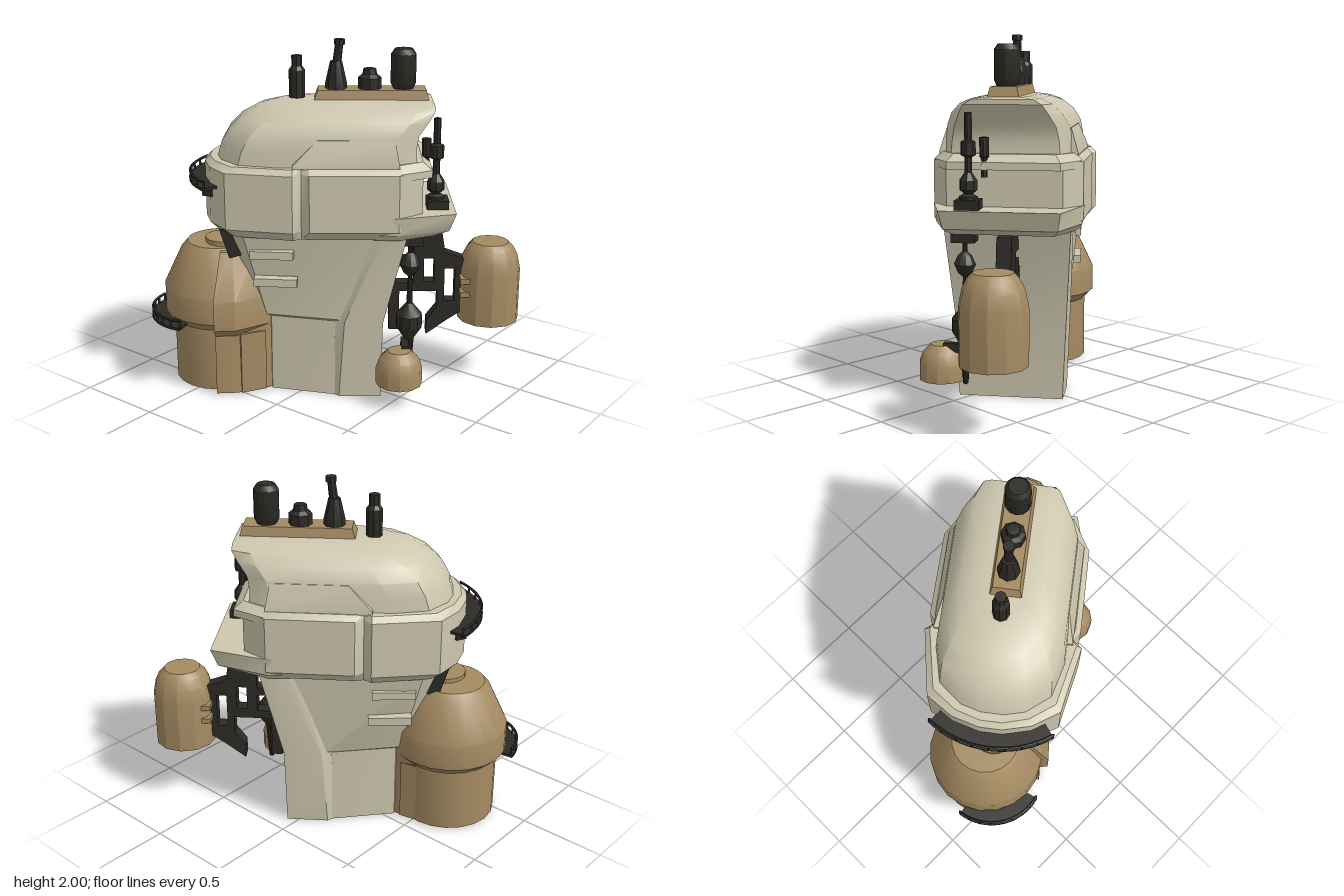
import * as THREE from 'three';
import { toCreasedNormals } from 'three/addons/utils/BufferGeometryUtils.js';

const mat = (color) => new THREE.MeshStandardMaterial({ color, side: THREE.DoubleSide });
const hull = mat(0xcdc7ae), tan = mat(0xa48a62), dark = mat(0x2c2a25);

// Local frame: -x is the nose of the building, +x its back, z is sideways.
export function createModel() {
  const model = new THREE.Group();
  const body = new THREE.Group();
  body.name = 'building';
  body.rotation.y = THREE.MathUtils.degToRad(37);
  model.add(body);

  const add = (name, geo, material, x = 0, y = 0, z = 0) => {
    const m = new THREE.Mesh(toCreasedNormals(geo, 0.5), material);
    m.name = name;
    m.position.set(x, y, z);
    body.add(m);
    return m;
  };
  const box = (name, material, sx, sy, sz, x, y, z) =>
    add(name, new THREE.BoxGeometry(sx, sy, sz), material, x, y, z);
  const lathe = (name, material, pts, x, z, sides = 12) =>
    add(name, new THREE.LatheGeometry(pts.map(p => new THREE.Vector2(p[0], p[1])), sides), material, x, 0, z);

  // Skin stacked rings; each ring is [y, half outline from nose to back].
  const loft = (name, material, rings, openBottom = false) => {
    const full = rings.map(([y, half]) => [
      ...half.map(([x, z]) => [x, y, z]),
      ...[...half].reverse().map(([x, z]) => [x, y, -z])]);
    const pos = [], n = full[0].length;
    const tri = (...c) => c.forEach(p => pos.push(...p));
    for (let r = 0; r + 1 < full.length; r++)
      for (let i = 0; i < n; i++) {
        const j = (i + 1) % n, lo = full[r], hi = full[r + 1];
        tri(lo[i], lo[j], hi[j]);
        tri(lo[i], hi[j], hi[i]);
      }
    const cap = (ring, up) => {
      const c = [0, 1, 2].map(k => ring.reduce((s, p) => s + p[k], 0) / n);
      for (let i = 0; i < n; i++) {
        const j = (i + 1) % n;
        up ? tri(c, ring[i], ring[j]) : tri(c, ring[j], ring[i]);
      }
    };
    if (!openBottom) cap(full[0], false);
    cap(full[full.length - 1], true);
    const g = new THREE.BufferGeometry();
    g.setAttribute('position', new THREE.Float32BufferAttribute(pos, 3));
    g.computeVertexNormals();
    return add(name, g, material);
  };

  // Hollow tower, narrowing to the nose and flaring upwards, with a sloping pillar on its back edge
  loft('tower', hull, [
    [0, [[-0.35, 0.15], [-0.335, 0.185], [0.03, 0.27], [0.27, 0.27]]],
    [0.455, [[-0.36, 0.15], [-0.335, 0.19], [0.05, 0.275], [0.28, 0.28]]],
    [0.47, [[-0.39, 0.15], [-0.36, 0.205], [0.05, 0.29], [0.28, 0.29]]],
    [0.98, [[-0.57, 0.2], [-0.48, 0.31], [0.25, 0.325], [0.38, 0.31]]]], true);
  const rib = (f, bevel, k, w) => [[f, w - 0.035], [f + bevel, w], [k, w]];
  loft('towerPillar', hull, [[0, rib(0.01, 0.04, 0.287, 0.29)], [0.46, rib(0.03, 0.05, 0.295, 0.31)],
    [0.98, rib(0.21, 0.08, 0.42, 0.345)]], true);
  for (const s of [-1, 1])
    for (const [y, x] of [[0.862, -0.32], [0.703, -0.3]]) {
      const slat = box('wallSlat', hull, 0.24, 0.045, 0.06, x, y, s * 0.3);
      slat.rotation.y = -s * 0.08;
    }

  // Broad collar with a groove on each side
  const collar = (d) => [[-0.7 + d, 0.06], [-0.66 + d, 0.21 - d / 2], [-0.565 + d, 0.355 - d], [-0.2, 0.425 - d],
    [-0.155, 0.37 - d / 2], [-0.11, 0.41 - d], [0.37, 0.405 - d], [0.5 - d, 0.31 - d]];
  loft('collar', hull, [[0.965, collar(0.05)], [1.02, collar(0)], [1.335, collar(0)], [1.365, collar(0.03)]]);
  const ledge = [[0.3, 0.4], [0.37, 0.4], [0.55, 0.3]];
  loft('backLedge', hull, [[1.3, ledge], [1.34, ledge], [1.38, [[0.3, 0.36], [0.36, 0.36], [0.5, 0.27]]]]);
  loft('backPlatform', hull, [[0.96, [[0.2, 0.34], [0.36, 0.36], [0.56, 0.27]]],
    [1.0, [[0.2, 0.38], [0.36, 0.4], [0.65, 0.3]]], [1.1, [[0.2, 0.39], [0.36, 0.41], [0.685, 0.318]]]]);

  // Rounded roof with an overhanging back
  const roof = (f, w, k, wb) => [[f, w * 0.18], [f + 0.03, w * 0.5], [f + 0.13, w * 0.86], [f + 0.32, w],
    [0.2, w], [k - 0.11, w], [k, wb]];
  loft('roof', hull, [
    [1.35, roof(-0.63, 0.345, 0.47, 0.29)], [1.44, roof(-0.605, 0.34, 0.46, 0.285)],
    [1.52, roof(-0.56, 0.33, 0.475, 0.27)], [1.59, roof(-0.49, 0.295, 0.53, 0.235)],
    [1.64, roof(-0.4, 0.245, 0.565, 0.205)], [1.667, roof(-0.3, 0.185, 0.565, 0.16)],
    [1.678, roof(-0.22, 0.12, 0.54, 0.1)]]);
  const sill = [[-0.2, 0.375], [0.37, 0.375]];
  loft('roofSidePanels', hull, [[1.36, sill], [1.38, sill], [1.51, [[-0.07, 0.335], [0.345, 0.335]]]]);

  // Vent box and chimneys
  loft('ventBox', tan, [[1.65, [[-0.1, 0.09], [0.545, 0.09]]], [1.73, [[-0.07, 0.07], [0.525, 0.07]]]]);
  lathe('noseChimney', dark, [[0, 1.6], [0.045, 1.6], [0.045, 1.83], [0.03, 1.85], [0.03, 1.91], [0, 1.91]], -0.186, -0.01, 8);
  lathe('tallChimney', dark, [[0.06, 1.72], [0.06, 1.76], [0.033, 1.88], [0, 1.88]], 0.03, 0, 8);
  const neck = add('chimneyNeck', new THREE.CylinderGeometry(0.022, 0.025, 0.12, 8), dark, 0.04, 1.92, 0);
  neck.rotation.z = -0.12;
  add('chimneyTip', new THREE.CylinderGeometry(0.03, 0.03, 0.03, 8), dark, 0.048, 1.985, 0);
  lathe('lowChimney', dark, [[0.065, 1.72], [0.065, 1.79], [0.04, 1.81], [0.035, 1.84], [0, 1.845]], 0.215, 0, 8);
  lathe('wideChimney', dark, [[0.05, 1.72], [0.07, 1.76], [0.07, 1.92], [0.05, 1.95], [0, 1.95]], 0.4, 0, 12);

  // Hollow front tank with its saddle against the tower
  lathe('frontTank', tan, [[0.28, 0.01], [0.28, 0.38], [0.33, 0.43], [0.33, 0.58],
    [0.225, 0.8], [0.19, 0.84], [0, 0.85]], -0.64, -0.045, 20);
  lathe('tankCap', tan, [[0.12, 0.84], [0.12, 0.87], [0, 0.87]], -0.6, 0, 16);
  const saddle = (d) => [[-0.65, 0.285 - d], [-0.53, 0.275 - d], [-0.35, 0.195], [-0.32, 0.16]];
  loft('tankSaddle', tan, [[0.01, saddle(0)], [0.36, saddle(0.01)], [0.41, saddle(-0.04)], [0.58, saddle(-0.04)],
    [0.83, [[-0.62, 0.18], [-0.55, 0.18], [-0.42, 0.12], [-0.36, 0.1]]]], true);
  for (const s of [-1, 1]) {
    const panel = box('saddlePanel', tan, 0.15, 0.36, 0.02, -0.44, 0.19, s * 0.235);
    panel.rotation.y = s * 0.42;
    const strut = box('tankStrut', dark, 0.07, 0.2, 0.07, -0.56, 0.91, s * 0.175);
    strut.rotation.z = 0.3;
  }

  // Curved balconies about a centre on the mid-line, spanning angles t0..t1 from the nose
  const balcony = (name, cx, ri, ro, t0, t1, y, h, brackets) => {
    const shape = new THREE.Shape();
    shape.absarc(0, 0, ro, Math.PI + t0, Math.PI + t1, false);
    shape.absarc(0, 0, ri, Math.PI + t1, Math.PI + t0, true);
    const deck = new THREE.ExtrudeGeometry(shape, { depth: 0.015, bevelEnabled: false, curveSegments: 20 });
    deck.rotateX(Math.PI / 2);
    add(name + 'Deck', deck, dark, cx, y, 0);
    const at = (t, r) => [cx - r * Math.cos(t), -r * Math.sin(t)];
    const pts = [];
    for (let i = 0; i <= 12; i++) {
      const [x, z] = at(t0 + (t1 - t0) * i / 12, ro - 0.008);
      pts.push(new THREE.Vector3(x, y + h, z));
    }
    add(name + 'Rail', new THREE.TubeGeometry(new THREE.CatmullRomCurve3(pts), 24, 0.008, 5), dark);
    for (let i = 0; i <= 8; i++) {
      const t = t0 + (t1 - t0) * i / 8, [x, z] = at(t, ro - 0.008);
      box(name + 'Post', dark, 0.012, h, 0.012, x, y + h / 2, z);
      if (brackets && i % 2) {
        const [bx, bz] = at(t, ri + 0.03);
        box(name + 'Bracket', dark, 0.06, 0.06, 0.025, bx, y - 0.04, bz).rotation.y = t;
      }
    }
  };
  balcony('upperBalcony', -0.235, 0.46, 0.56, -0.64, 0.64, 1.245, 0.035, true);
  balcony('lowerBalcony', -0.735, 0.21, 0.31, -1.19, 0.53, 0.412, 0.04, false);

  // Wedges under the nose of the collar
  for (let i = -3; i <= 3; i++) {
    const t = i * 0.2;
    const w = box('collarWedge', dark, 0.09, 0.03, 0.045, -0.16 - 0.47 * Math.cos(t), 0.985, 0.46 * Math.sin(t));
    w.rotation.set(0, t, -0.5, 'YXZ');
  }

  // Back tank, open underneath, with clamps on the inner side
  lathe('backTank', tan, [[0.178, 0.37], [0.178, 0.67], [0.16, 0.755], [0.135, 0.805], [0.105, 0.838], [0, 0.845]], 0.922, -0.015);
  for (const y of [0.63, 0.548])
    box('tankClamp', tan, 0.07, 0.03, 0.24, 0.78, y, -0.015);

  // Bracket frame carrying the back tank
  const frame = new THREE.Shape([[0.26, 0.96], [0.63, 0.96], [0.66, 0.78], [0.77, 0.74], [0.77, 0.42], [0.68, 0.36], [0.56, 0.27],
    [0.56, 0.36], [0.62, 0.44], [0.62, 0.54], [0.4, 0.54], [0.4, 0.3], [0.34, 0.3], [0.34, 0.6], [0.26, 0.6]]
    .map(p => new THREE.Vector2(...p)));
  for (const [x0, x1, y0, y1] of [[0.38, 0.48, 0.74, 0.86], [0.38, 0.48, 0.59, 0.69], [0.54, 0.6, 0.6, 0.74], [0.66, 0.72, 0.48, 0.68]])
    frame.holes.push(new THREE.Path([[x0, y0], [x0, y1], [x1, y1], [x1, y0]].map(p => new THREE.Vector2(...p))));
  add('tankBracket', new THREE.ExtrudeGeometry(frame, { depth: 0.08, bevelEnabled: false }), dark, 0, 0, -0.06);
  box('tankArm', dark, 0.2, 0.05, 0.06, 0.72, 0.72, -0.03);

  // Hanging rod with bulbs, and the small side tank it feeds
  lathe('hangingRod', dark, [[0, 0.11], [0.015, 0.12], [0.03, 0.34], [0.075, 0.41], [0.075, 0.48], [0.018, 0.55], [0.012, 0.71],
    [0.04, 0.735], [0.06, 0.78], [0.04, 0.825], [0.014, 0.85], [0.014, 0.91]], 0.446, 0.223, 10);
  box('rodMount', dark, 0.13, 0.07, 0.13, 0.446, 0.94, 0.223);
  lathe('smallTank', tan, [[0.13, 0.125], [0.13, 0.22], [0.11, 0.275], [0.065, 0.32], [0, 0.322]], 0.386, 0.364);
  box('smallTankArm', dark, 0.04, 0.05, 0.14, 0.42, 0.31, 0.28);

  // Antennas on the back platform
  box('antennaBase', dark, 0.12, 0.05, 0.13, 0.59, 1.125, 0.175);
  lathe('antenna', dark, [[0.05, 1.14], [0.05, 1.165], [0.025, 1.18], [0.048, 1.2], [0.048, 1.25], [0.02, 1.29], [0.02, 1.37],
    [0.04, 1.38], [0.04, 1.45], [0.02, 1.46], [0.02, 1.6], [0, 1.6]], 0.58, 0.175, 8);
  lathe('shortAntenna', dark, [[0, 1.26], [0.018, 1.26], [0.018, 1.36], [0.026, 1.37], [0.026, 1.47], [0, 1.47]], 0.53, 0.1, 8);
  box('antennaMount', dark, 0.08, 0.03, 0.03, 0.51, 1.32, 0.1);

  return model;
}
